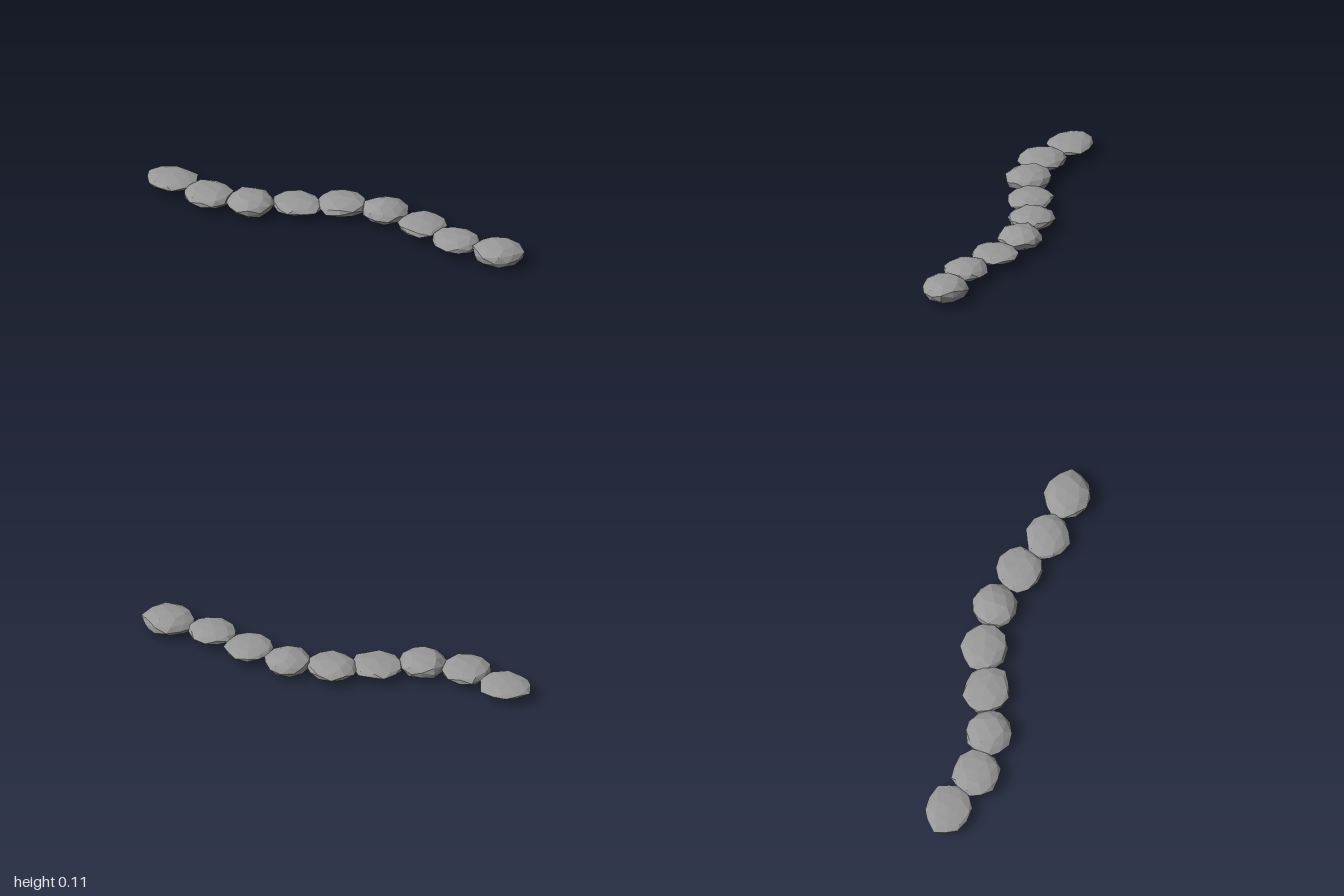
import * as THREE from 'three';

// Repeatable jitter from a vertex direction, so shared corners stay joined
function jitter(v, seed) {
  const s = Math.sin(v.x * 12.99 + v.y * 78.23 + v.z * 37.72 + seed * 5.17) * 437.58;
  return s - Math.floor(s);
}

// Flattened faceted boulder, scaled to exact half sizes
function stoneGeometry(halfX, halfY, halfZ, seed) {
  const geo = new THREE.IcosahedronGeometry(1, 1);
  geo.rotateY(seed * 1.3);
  const pos = geo.attributes.position;
  const v = new THREE.Vector3();
  for (let i = 0; i < pos.count; i++) {
    v.fromBufferAttribute(pos, i);
    v.set(...v.toArray().map((n) => Math.round(n * 1000) / 1000));
    v.multiplyScalar(0.93 + 0.13 * jitter(v, seed));
    pos.setXYZ(i, v.x, v.y, v.z);
  }
  geo.center();
  geo.computeBoundingBox();
  const b = geo.boundingBox.max;
  geo.scale(halfX / b.x, halfY / b.y, halfZ / b.z);
  geo.computeVertexNormals();
  return geo;
}

export function createModel() {
  const group = new THREE.Group();
  group.name = 'steppingStonePath';
  const stone = new THREE.MeshStandardMaterial({ color: 0x999999, flatShading: true });
  stone.name = 'stone grey';

  // Centre x, centre z and half sizes of each stone; thickness repeats in threes
  const stones = [
    [-0.865, 0.0, 0.135, 0.11],
    [-0.65, 0.075, 0.12, 0.113],
    [-0.43, 0.075, 0.122, 0.113],
    [-0.215, 0.003, 0.127, 0.112],
    [-0.005, -0.077, 0.125, 0.115],
    [0.215, -0.09, 0.12, 0.113],
    [0.43, -0.028, 0.12, 0.113],
    [0.637, 0.057, 0.123, 0.115],
    [0.868, 0.085, 0.132, 0.115],
  ];
  const thickness = [0.03, 0.042, 0.054];
  stones.forEach(([x, z, hx, hz], i) => {
    const mesh = new THREE.Mesh(stoneGeometry(hx, thickness[i % 3], hz, i + 1), stone);
    mesh.name = `stone${i + 1}`;
    mesh.position.set(x, 0.056, z);
    group.add(mesh);
  });
  return group;
}
